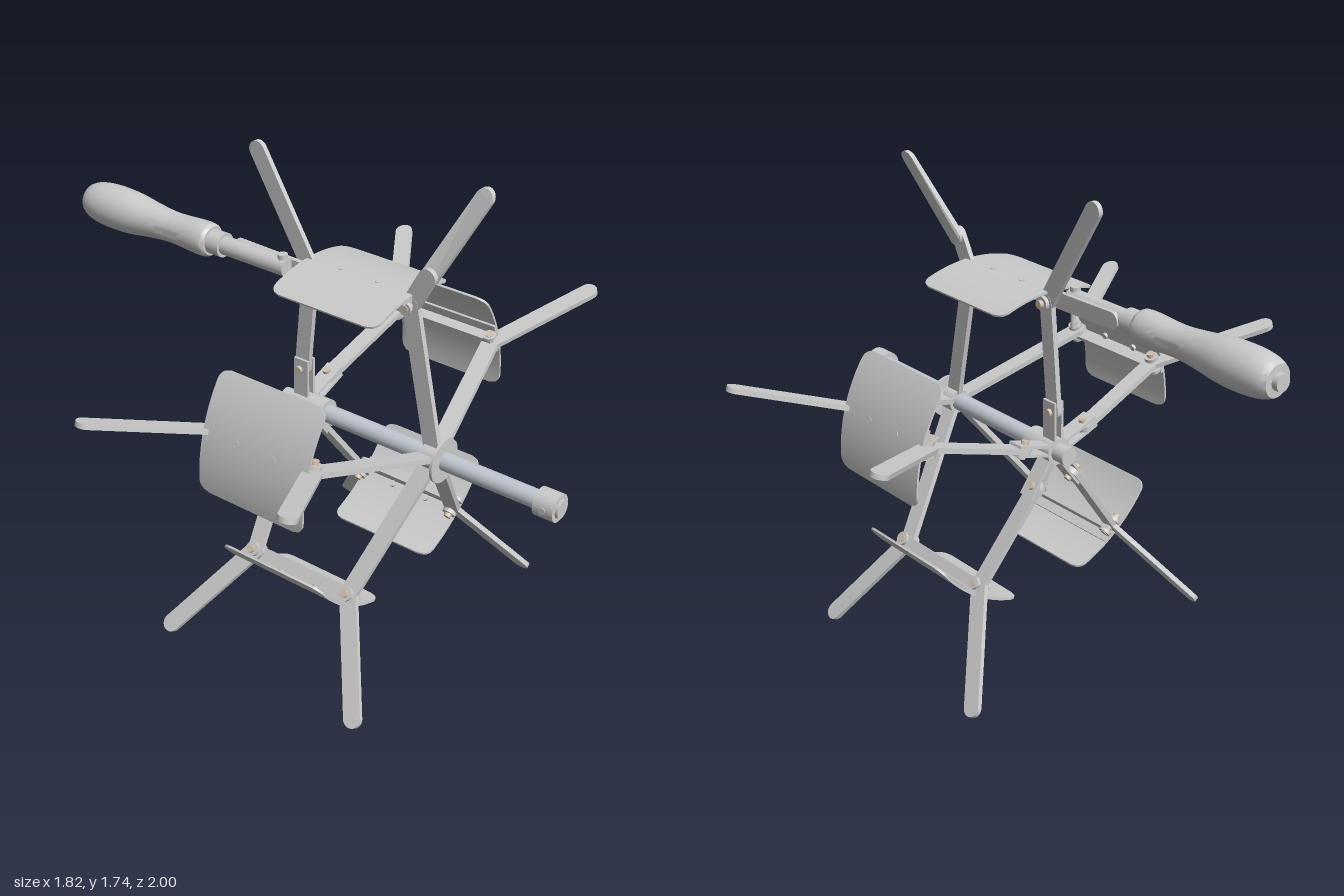
import * as THREE from 'three';
import { toCreasedNormals } from 'three/addons/utils/BufferGeometryUtils.js';

const grey = new THREE.MeshStandardMaterial({ color: 0xcccccc });
const steel = new THREE.MeshStandardMaterial({ color: 0xc2c9d1 });
const brass = new THREE.MeshStandardMaterial({ color: 0xd2c2ac });
const AXIS_Y = 0.8, PLATE_R = 0.583;

function add(parent, name, geometry, material = grey) {
  const mesh = new THREE.Mesh(geometry, material);
  mesh.name = name;
  parent.add(mesh);
  return mesh;
}

// Round-ended flat bar in the axial/radial plane, from [z, r] to [z, r]
function flatBar(a, b, width, thick, x = 0) {
  const len = Math.hypot(b[0] - a[0], b[1] - a[1]), w = width / 2;
  const s = new THREE.Shape();
  s.absarc(len, 0, w, -Math.PI / 2, Math.PI / 2, false);
  s.absarc(0, 0, w, Math.PI / 2, Math.PI * 1.5, false);
  s.closePath();
  const g = new THREE.ExtrudeGeometry(s, { depth: thick, bevelEnabled: false, curveSegments: 10 });
  g.translate(0, 0, -thick / 2);
  g.rotateZ(Math.atan2(b[1] - a[1], b[0] - a[0]));
  g.translate(a[0], a[1], 0);
  g.rotateY(-Math.PI / 2);
  return g.translate(x, 0, 0);
}

// Cylinder along z between two depths
function rod(r, z0, z1, x = 0, y = 0, sides = 28) {
  return new THREE.CylinderGeometry(r, r, Math.abs(z1 - z0), sides)
    .rotateX(Math.PI / 2).translate(x, y, (z0 + z1) / 2);
}

// Cylinder across a bar
function crossPin(r, len, z, y, x = 0) {
  return new THREE.CylinderGeometry(r, r, len, 16).rotateZ(Math.PI / 2).translate(x, y, z);
}

// Thin sheet with rounded corners, bent around the shaft
function curvedPlate() {
  const half = 0.217, halfZ = 0.215, c = 0.04;
  const g = new THREE.BoxGeometry(half * 2, 0.008, halfZ * 2, 60, 1, 1);
  const p = g.attributes.position;
  for (let i = 0; i < p.count; i++) {
    const u = p.getX(i), d = Math.max(0, Math.abs(u) - (half - c));
    const z = Math.sign(p.getZ(i)) * (halfZ - c + Math.sqrt(Math.max(0, c * c - d * d)));
    const r = PLATE_R + p.getY(i), a = u / PLATE_R;
    p.setXYZ(i, Math.sin(a) * r, Math.cos(a) * r, z + 0.185);
  }
  return toCreasedNormals(g, 0.6);
}

// One folding arm: struts, fingers, rim plate and hinges (radial = local y)
function makeArm(bent) {
  const arm = new THREE.Group();
  arm.name = 'foldingArm';
  const front = [0.39, 0.545], rear = [-0.02, 0.545];
  add(arm, 'frontStrut', flatBar([0.495, 0.04], front, 0.062, 0.02));
  add(arm, 'rearStrut', flatBar([-0.055, 0.15], rear, 0.058, 0.02));
  add(arm, 'rearFinger', flatBar(rear, [-0.24, 0.92], 0.064, 0.018));
  if (bent) {
    add(arm, 'frontFingerBase', flatBar(front, [0.45, 0.66], 0.064, 0.018));
    const tip = flatBar([0.45, 0.66], [0.575, 0.93], 0.064, 0.018, 0.012);
    const p = tip.attributes.position;
    for (let i = 0; i < p.count; i++) p.setX(i, p.getX(i) + Math.max(0, p.getY(i) - 0.68) * 0.39);
    tip.computeVertexNormals();
    add(arm, 'bentFingerTip', tip);
  } else {
    add(arm, 'frontFinger', flatBar(front, [0.575, 0.92], 0.064, 0.018));
  }

  // Rim plate on its angle bracket
  add(arm, 'rimPlate', curvedPlate());
  add(arm, 'bracketWeb', new THREE.BoxGeometry(0.014, 0.05, 0.43).translate(-0.02, 0.554, 0.185));
  add(arm, 'bracketFlange', new THREE.BoxGeometry(0.05, 0.012, 0.43).translate(-0.038, 0.573, 0.185));
  for (const z of [0.26, 0.11])
    add(arm, 'rivet', new THREE.CylinderGeometry(0.012, 0.012, 0.02, 16).translate(0, PLATE_R - 0.004, z));
  for (const [z, r] of [front, rear]) {
    add(arm, 'rimPin', crossPin(0.014, 0.086, z, r), brass);
    add(arm, 'rimNut', crossPin(0.026, 0.014, z, r, 0.022));
    add(arm, 'rimPinHead', crossPin(0.024, 0.012, z, r, -0.034));
  }

  // Clevis and pin at the rear hub
  for (const s of [-1, 1])
    add(arm, 'hubLug', new THREE.BoxGeometry(0.01, 0.15, 0.06).translate(s * 0.016, 0.115, -0.05));
  add(arm, 'hubPin', crossPin(0.014, 0.066, -0.055, 0.15), brass);
  return arm;
}

// Wooden grip, bolted to the rim of the top arm
function makeCrank() {
  const crank = new THREE.Group();
  crank.name = 'crankHandle';
  const profile = [[0.052, 0.4], [0.06, 0.415], [0.061, 0.46], [0.056, 0.54], [0.056, 0.6], [0.064, 0.68],
    [0.075, 0.76], [0.079, 0.83], [0.077, 0.9], [0.068, 0.95], [0.055, 0.978]];
  const curve = new THREE.SplineCurve(profile.map(([r, d]) => new THREE.Vector2(r, d)));
  const pts = [new THREE.Vector2(0, 0.4), ...curve.getPoints(50), new THREE.Vector2(0, 0.98)];
  const grip = toCreasedNormals(new THREE.LatheGeometry(pts, 36), 0.6);
  add(crank, 'grip', grip.rotateX(-Math.PI / 2));
  add(crank, 'gripEnd', rod(0.03, -0.97, -1));
  add(crank, 'ferrule', rod(0.044, -0.345, -0.405));
  add(crank, 'handleRod', rod(0.033, -0.07, -0.35));
  add(crank, 'handleTang', flatBar([0.08, -0.012], [-0.3, -0.004], 0.06, 0.018, 0.03));
  add(crank, 'lockPin', new THREE.CylinderGeometry(0.009, 0.009, 0.13, 12).translate(0, -0.045, -0.08));
  add(crank, 'lockPinHead', new THREE.CylinderGeometry(0.018, 0.018, 0.02, 16).translate(0, 0.035, -0.09));
  crank.position.set(-0.063, 0.56, 0);
  return crank;
}

export function createModel() {
  const model = new THREE.Group();
  model.name = 'crankReel';
  const reel = new THREE.Group();
  reel.name = 'reel';
  reel.position.y = AXIS_Y;
  model.add(reel);

  // Shaft, hubs and collars
  add(reel, 'shaft', rod(0.033, 0.92, -0.1), steel);
  add(reel, 'endCollar', rod(0.05, 0.915, 0.99));
  add(reel, 'shaftTip', rod(0.033, 0.985, 1));
  add(reel, 'collarScrew', crossPin(0.013, 0.104, 0.952, 0));
  add(reel, 'stopFlange', rod(0.08, 0.537, 0.547));
  add(reel, 'frontHub', rod(0.045, 0.47, 0.53));
  add(reel, 'rearHub', rod(0.05, 0.055, -0.08));
  add(reel, 'rearCap', rod(0.034, -0.08, -0.135));

  // Five arms around the shaft
  for (let i = 0; i < 5; i++) {
    const arm = makeArm(i === 0);
    arm.rotation.z = i * Math.PI * 2 / 5;
    reel.add(arm);
  }
  reel.add(makeCrank());
  return model;
}
